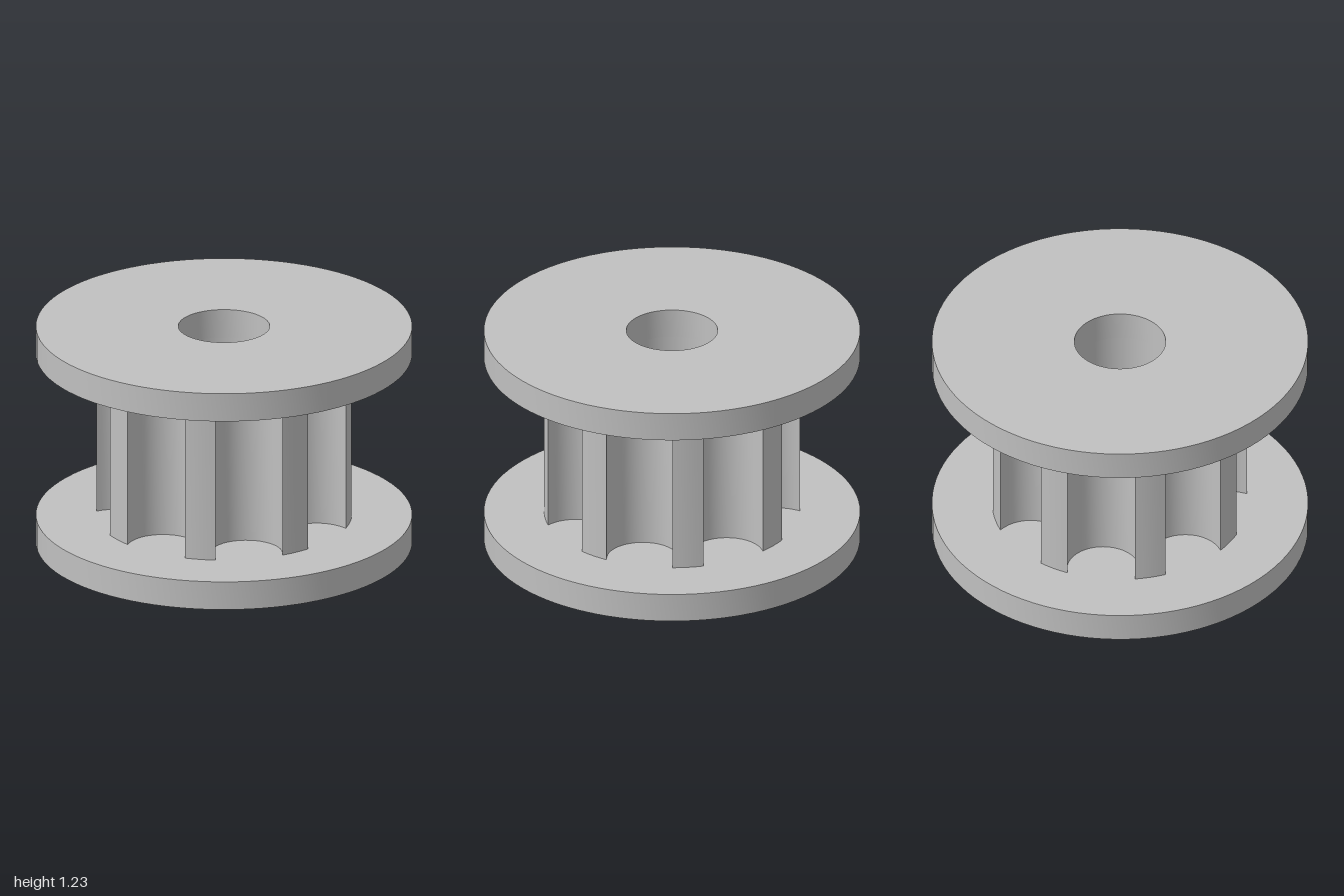
import * as THREE from 'three';
import { toCreasedNormals } from 'three/addons/utils/BufferGeometryUtils.js';

const HEIGHT = 1.23, FLANGE = 0.158, BORE = 0.243;
const TEETH = 8, TIP_RADIUS = 0.68;
const GROOVE_CENTRE = 0.588, GROOVE_RADIUS = 0.192, GROOVE_HALF_WIDTH = 0.182;

// Flat disc with a bore through its middle
function flangeGeometry() {
  const profile = [[BORE, 0], [1, 0], [1, FLANGE], [BORE, FLANGE], [BORE, 0]]
    .map(([x, y]) => new THREE.Vector2(x, y));
  return toCreasedNormals(new THREE.LatheGeometry(profile, 96), 0.5);
}

// Toothed core: arc-shaped tips with round pockets between them
function coreGeometry() {
  const points = [];
  const pitch = (Math.PI * 2) / TEETH;
  const halfGroove = Math.asin(GROOVE_HALF_WIDTH / TIP_RADIUS);
  const mouth = Math.atan2(GROOVE_HALF_WIDTH, TIP_RADIUS * Math.cos(halfGroove) - GROOVE_CENTRE);

  for (let k = 0; k < TEETH; k++) {
    const a = k * pitch;
    // tooth tip
    for (let i = 0; i <= 4; i++) {
      const t = a + halfGroove + (pitch - 2 * halfGroove) * (i / 4);
      points.push(new THREE.Vector2(Math.cos(t), Math.sin(t)).multiplyScalar(TIP_RADIUS));
    }
    // round pocket after it
    const c = a + pitch;
    for (let i = 1; i < 24; i++) {
      const t = c - mouth - (Math.PI * 2 - 2 * mouth) * (i / 24);
      points.push(new THREE.Vector2(
        GROOVE_CENTRE * Math.cos(c) + GROOVE_RADIUS * Math.cos(t),
        GROOVE_CENTRE * Math.sin(c) + GROOVE_RADIUS * Math.sin(t)));
    }
  }

  const shape = new THREE.Shape(points);
  shape.holes.push(new THREE.Path().absarc(0, 0, BORE, 0, Math.PI * 2, true));
  const geometry = new THREE.ExtrudeGeometry(shape, {
    depth: HEIGHT - 2 * FLANGE, bevelEnabled: false, curveSegments: 48,
  });
  geometry.rotateX(-Math.PI / 2);
  return toCreasedNormals(geometry, 0.5);
}

export function createModel() {
  const group = new THREE.Group();
  group.name = 'toothedPulley';
  const grey = new THREE.MeshStandardMaterial({ color: 0xc0c0c0 });
  grey.name = 'grey';

  const add = (name, geometry, y) => {
    const mesh = new THREE.Mesh(geometry, grey);
    mesh.name = name;
    mesh.position.y = y;
    group.add(mesh);
  };

  const flange = flangeGeometry();
  add('bottomFlange', flange, 0);
  add('topFlange', flange, HEIGHT - FLANGE);
  add('toothedCore', coreGeometry(), FLANGE);
  return group;
}
